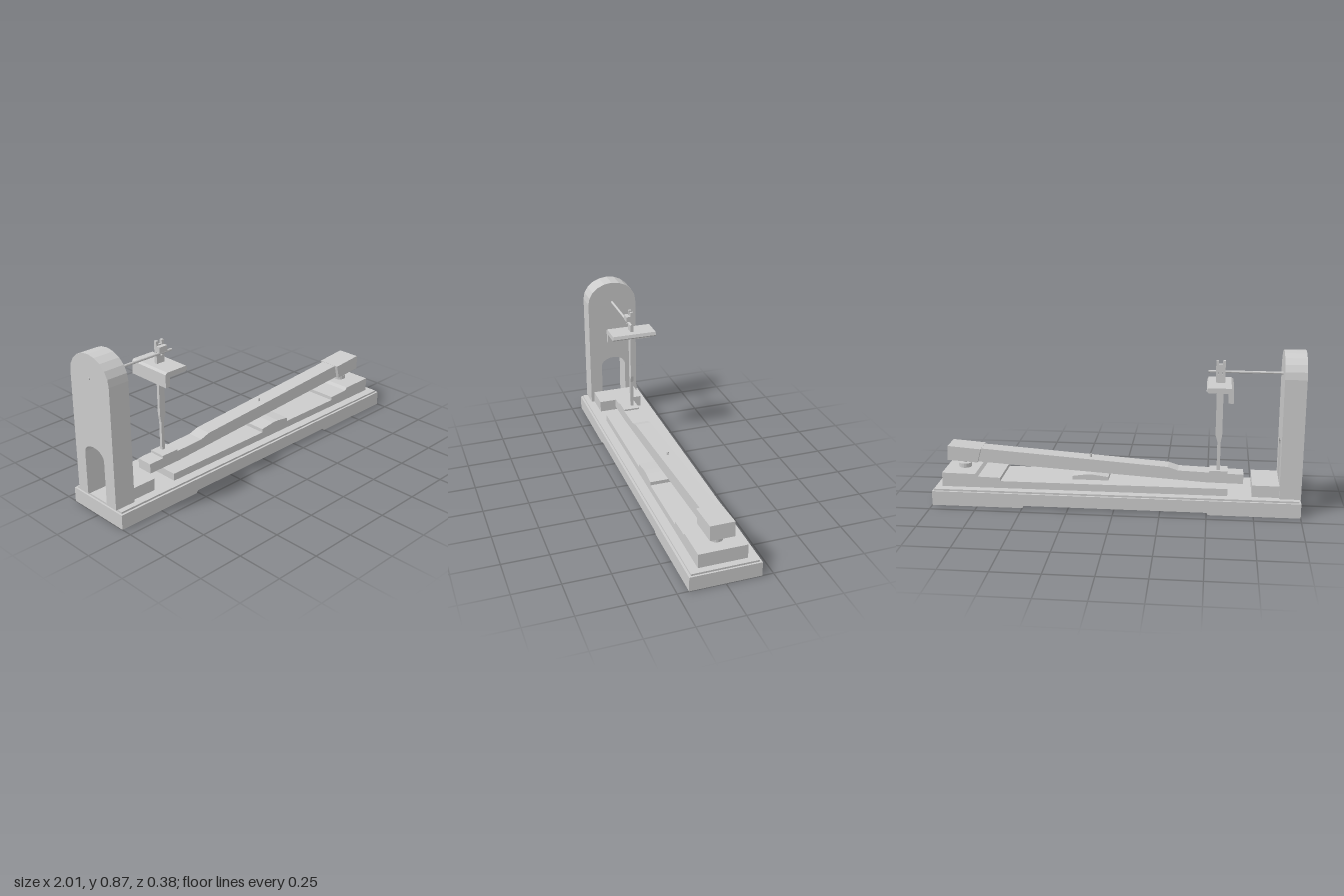
import * as THREE from 'three';

const material = new THREE.MeshStandardMaterial({ color: 0xcccccc, flatShading: true });

export function createModel() {
  const model = new THREE.Group();

  const add = (name, geometry) => {
    const mesh = new THREE.Mesh(geometry, material);
    mesh.name = name;
    model.add(mesh);
    return mesh;
  };
  // Box given by its limits on each axis
  const box = (name, x0, x1, y0, y1, z0, z1) =>
    add(name, new THREE.BoxGeometry(x1 - x0, y1 - y0, z1 - z0)
      .translate((x0 + x1) / 2, (y0 + y1) / 2, (z0 + z1) / 2));
  // Side profile (x, y) extruded from z0 to z1
  const profile = (name, points, z0, z1) => {
    const shape = new THREE.Shape(points.map(([x, y]) => new THREE.Vector2(x, y)));
    return add(name, new THREE.ExtrudeGeometry(shape, { depth: z1 - z0, bevelEnabled: false })
      .translate(0, 0, z0));
  };
  // Upright round part
  const pin = (name, x, y0, y1, r, z = 0) =>
    add(name, new THREE.CylinderGeometry(r, r, y1 - y0, 16).translate(x, (y0 + y1) / 2, z));

  // Base with a shallow recess underneath and a thin upper step
  profile('base', [[-1, 0], [-0.51, 0], [-0.5, 0.013], [0.49, 0.013], [0.5, 0],
    [1, 0], [1, 0.08], [-1, 0.08]], -0.19, 0.19);
  box('baseStep', -0.99, 0.99, 0.08, 0.09, -0.178, 0.178);

  // Arched post with an arched opening
  const arch = new THREE.Shape();
  arch.moveTo(-0.075, 0.09);
  arch.lineTo(-0.148, 0.09);
  arch.lineTo(-0.148, 0.745);
  arch.absellipse(0, 0.745, 0.148, 0.125, Math.PI, 0, true);
  arch.lineTo(0.148, 0.09);
  arch.lineTo(0.075, 0.09);
  arch.lineTo(0.075, 0.33);
  arch.absellipse(0, 0.33, 0.075, 0.05, 0, Math.PI, false);
  add('post', new THREE.ExtrudeGeometry(arch, { depth: 0.115, bevelEnabled: false, curveSegments: 5 })
    .rotateY(Math.PI / 2).translate(-1, 0, 0));

  // Key frame and rails
  box('backRail', -0.885, -0.74, 0.09, 0.155, -0.13, 0.13);
  profile('keyFrame', [[-0.61, 0.09], [0.955, 0.09], [0.955, 0.168], [0.77, 0.166],
    [0.755, 0.152], [0.63, 0.149], [0.63, 0.13], [-0.61, 0.13]], -0.13, 0.13);
  profile('balanceRail', [[0.04, 0.13], [0.24, 0.13], [0.24, 0.15], [0.165, 0.161],
    [0.125, 0.161], [0.04, 0.15]], -0.06, 0.13);

  // Key lever, wider key head, and the pad under the jack
  profile('keyLever', [[-0.695, 0.132], [-0.5, 0.134], [0.77, 0.211], [0.75, 0.287],
    [-0.285, 0.215], [-0.34, 0.197], [-0.695, 0.185]], -0.046, 0.046);
  profile('keyHead', [[0.77, 0.211], [0.94, 0.221], [0.935, 0.302], [0.75, 0.288]], -0.065, 0.065);
  box('keyPad', -0.61, -0.51, 0.185, 0.201, -0.046, 0.046);

  // Pins
  pin('balancePin', 0.145, 0.15, 0.262, 0.006);
  pin('frontPin', 0.855, 0.165, 0.23, 0.01);
  pin('frontWasher', 0.855, 0.165, 0.191, 0.036);

  // Jack with a slim foot and a forked head
  profile('jack', [[-0.567, 0.2], [-0.549, 0.2], [-0.549, 0.36], [-0.538, 0.4], [-0.538, 0.66],
    [-0.531, 0.67], [-0.531, 0.81], [-0.545, 0.81], [-0.545, 0.735], [-0.567, 0.735],
    [-0.567, 0.81], [-0.581, 0.81], [-0.581, 0.67], [-0.574, 0.66], [-0.574, 0.4],
    [-0.567, 0.36]], -0.024, -0.007);
  box('tongue', -0.566, -0.546, 0.735, 0.79, -0.021, -0.01);
  box('plectrum', -0.56, -0.552, 0.733, 0.738, -0.014, 0.008);
  box('damper', -0.581, -0.531, 0.755, 0.785, -0.007, 0.017);

  // Register guide with a downturned lip
  profile('register', [[-0.627, 0.61], [-0.6, 0.61], [-0.6, 0.662], [-0.496, 0.662],
    [-0.485, 0.672], [-0.492, 0.69], [-0.615, 0.69], [-0.627, 0.68]], -0.147, 0.11);

  // String through the post
  add('string', new THREE.CylinderGeometry(0.007, 0.007, 0.515, 10)
    .rotateZ(Math.PI / 2).translate(-0.7475, 0.746, 0));

  return model;
}
